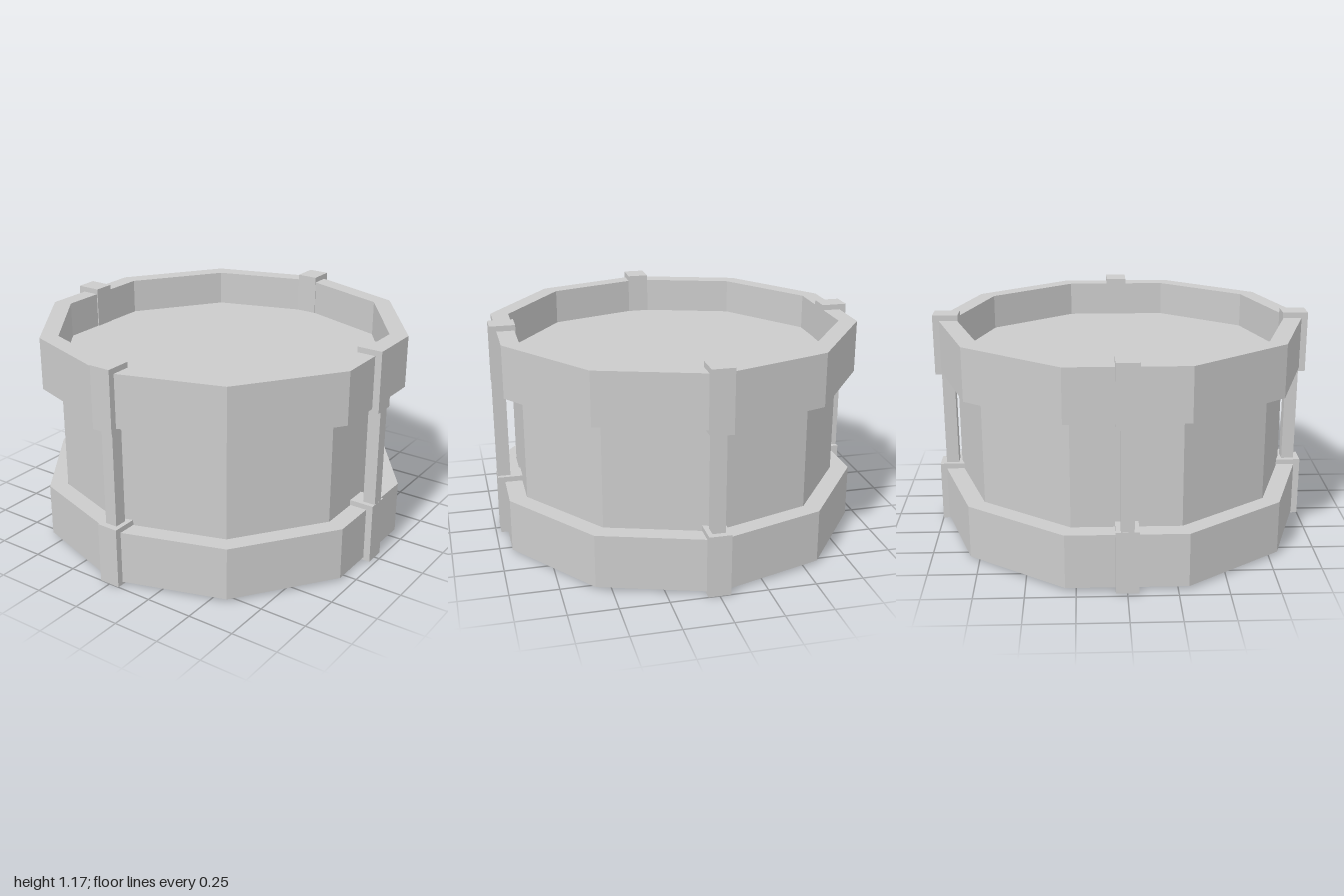
import * as THREE from 'three';

const SIDES = 10;

export function createModel() {
  const drum = new THREE.Group();
  drum.name = 'drum';
  const material = new THREE.MeshStandardMaterial({ color: 0xcccccc, flatShading: true });

  function add(parent, name, geometry, x = 0, y = 0, z = 0) {
    const mesh = new THREE.Mesh(geometry, material);
    mesh.name = name;
    mesh.position.set(x, y, z);
    parent.add(mesh);
    return mesh;
  }

  // Ten-sided shell, its caps being the two recessed drum heads
  const headBottom = 0.205, headTop = 0.95;
  add(drum, 'shell',
    new THREE.CylinderGeometry(0.886, 0.886, headTop - headBottom, SIDES, 1, false, Math.PI / 2),
    0, (headBottom + headTop) / 2, 0);

  // Hoops: rectangular section turned around the shell, corners on the x axis
  function hoop(name, y0, y1) {
    const inner = 0.888, outer = 0.985;
    const section = [[inner, y0], [outer, y0], [outer, y1], [inner, y1], [inner, y0]]
      .map(([r, y]) => new THREE.Vector2(r, y));
    add(drum, name, new THREE.LatheGeometry(section, SIDES, Math.PI / 2));
  }
  hoop('lowerHoop', 0.015, 0.297);
  hoop('upperHoop', 0.86, 1.138);

  // Four tension rods, each with a clip over either hoop
  const clipDepth = 0.134, clipHeight = 0.325;
  for (let i = 0; i < 4; i++) {
    const reach = i % 2 ? 1.0 : 0.973; // outer face of the clips
    const tension = new THREE.Group();
    tension.name = ['frontTension', 'leftTension', 'backTension', 'rightTension'][i];
    tension.rotation.y = i * Math.PI / 2;
    drum.add(tension);

    const clip = new THREE.BoxGeometry(0.115, clipHeight, clipDepth);
    add(tension, 'lowerClip', clip, 0, clipHeight / 2, reach - clipDepth / 2);
    add(tension, 'upperClip', clip, 0, 1.167 - clipHeight / 2, reach - clipDepth / 2);

    const rodOuter = i % 2 ? 0.968 : 0.972;
    add(tension, 'rod', new THREE.BoxGeometry(0.066, 0.56, 0.067), 0, 0.583, rodOuter - 0.0335);
  }

  return drum;
}
